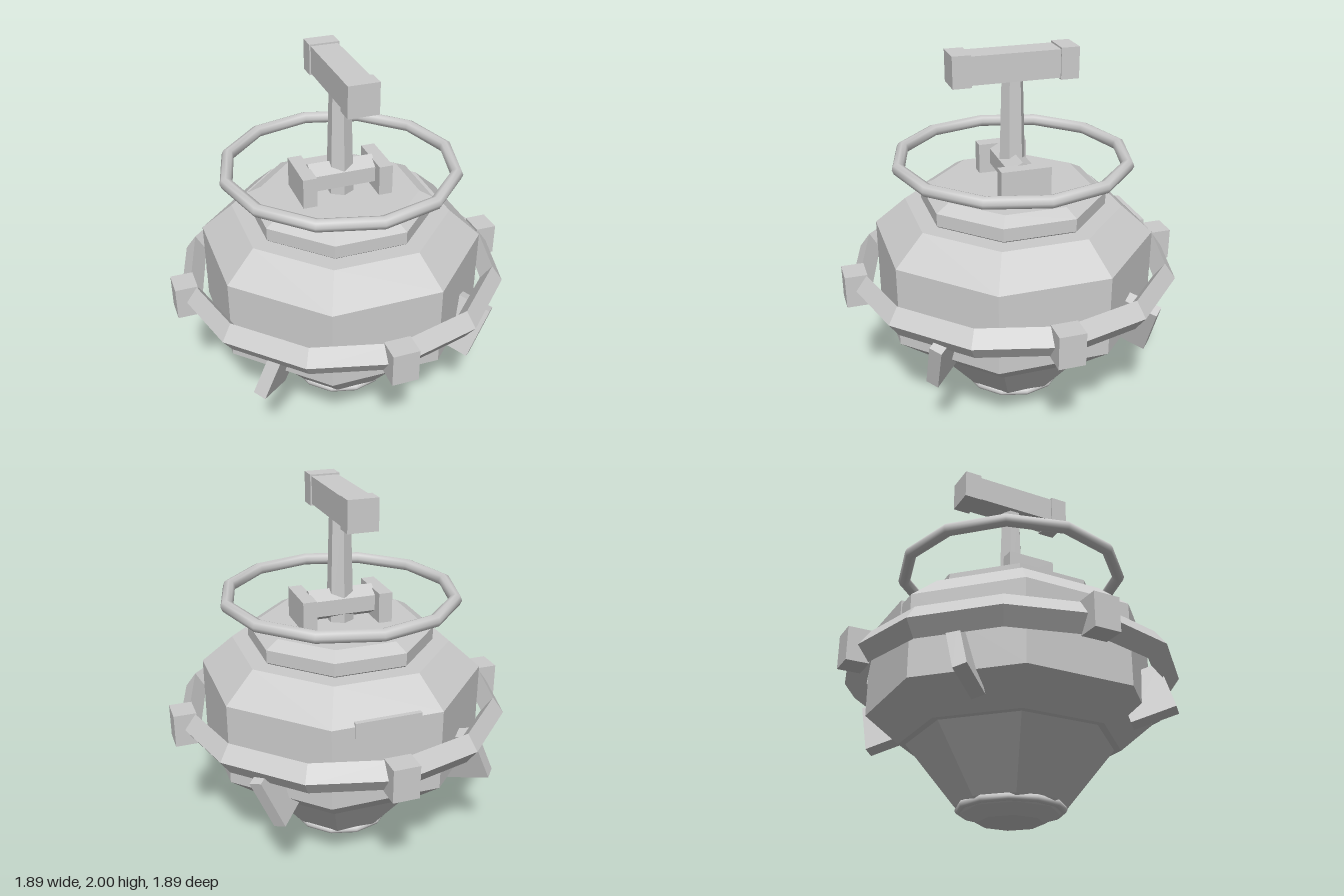
import * as THREE from 'three';

const grey = new THREE.MeshStandardMaterial({ color: 0xcccccc });
grey.name = 'plain grey';

// Give a geometry hard facets
function faceted(geometry) {
  const g = geometry.index ? geometry.toNonIndexed() : geometry;
  g.computeVertexNormals();
  return g;
}

// Octagonal solid with a flat side to the front; profile lists [apothem, y] upwards
function octagon(profile) {
  const points = profile.map(([r, y]) => new THREE.Vector2(r / Math.cos(Math.PI / 8), y));
  return faceted(new THREE.LatheGeometry(points, 8, Math.PI / 8));
}

export function createModel() {
  const model = new THREE.Group();
  model.name = 'spinningTop';

  function add(name, geometry, x = 0, y = 0, z = 0) {
    const mesh = new THREE.Mesh(geometry, grey);
    mesh.name = name;
    mesh.position.set(x, y, z);
    model.add(mesh);
    return mesh;
  }
  const box = (name, w, h, d, x, y, z) => add(name, new THREE.BoxGeometry(w, h, d), x, y, z);
  const ring = (r, tube, sides) => new THREE.TorusGeometry(r, tube, sides, 12).rotateX(Math.PI / 2);

  // Faceted body with a tapering lower cone
  add('body', octagon([
    [0, 0], [0.16, 0], [0.235, 0.045], [0.27, 0.08], [0.51, 0.4], [0.545, 0.4],
    [0.71, 0.55], [0.71, 0.995], [0.55, 1.146], [0, 1.146],
  ]));
  add('topPlate', octagon([
    [0, 1.14], [0.45, 1.14], [0.467, 1.155], [0.467, 1.225], [0.395, 1.265], [0, 1.265],
  ]));
  add('tipRing', ring(0.268, 0.021, 8), 0, 0.067, 0);
  box('backPlate', 0.35, 0.085, 0.025, 0, 0.973, -0.704);

  // Diamond-section belt with four nodes
  add('beltRing', faceted(ring(0.85, 0.06, 4).scale(1, 1.4, 1)), 0, 0.776, 0);
  for (let i = 0; i < 4; i++) {
    const a = i * Math.PI / 2;
    const node = box('beltNode', 0.12, 0.18, 0.14, 0.886 * Math.cos(a), 0.775, 0.886 * Math.sin(a));
    node.rotation.y = -a;
  }

  // Four radial fins, all leaning to the same side
  for (const sx of [-1, 1]) {
    for (const sz of [-1, 1]) {
      const fin = new THREE.BoxGeometry(0.24, 0.3, 0.07);
      fin.rotateY(-sx * sz * Math.PI / 4).rotateZ(-0.4);
      add('fin', fin, sx * 0.515, 0.605, sz * 0.515);
    }
  }

  // Hub: hexagonal axle between two blocks
  const axle = new THREE.CylinderGeometry(0.085, 0.085, 0.36, 6);
  add('axle', faceted(axle.rotateY(Math.PI / 2).rotateZ(Math.PI / 2)), 0, 1.36, 0);
  for (const s of [-1, 1]) box('axleBlock', 0.075, 0.17, 0.27, s * 0.21, 1.345, 0);

  // Floating upper ring
  add('upperRing', ring(0.616, 0.034, 8), 0, 1.412, 0);

  // Mast and handle
  add('mast', faceted(new THREE.CylinderGeometry(0.057, 0.075, 0.62, 6)), 0, 1.56, 0);
  box('handleBar', 0.148, 0.148, 0.5, 0, 1.917, 0);
  for (const s of [-1, 1]) box('handleCap', 0.164, 0.166, 0.098, 0, 1.917, s * 0.286);

  return model;
}
